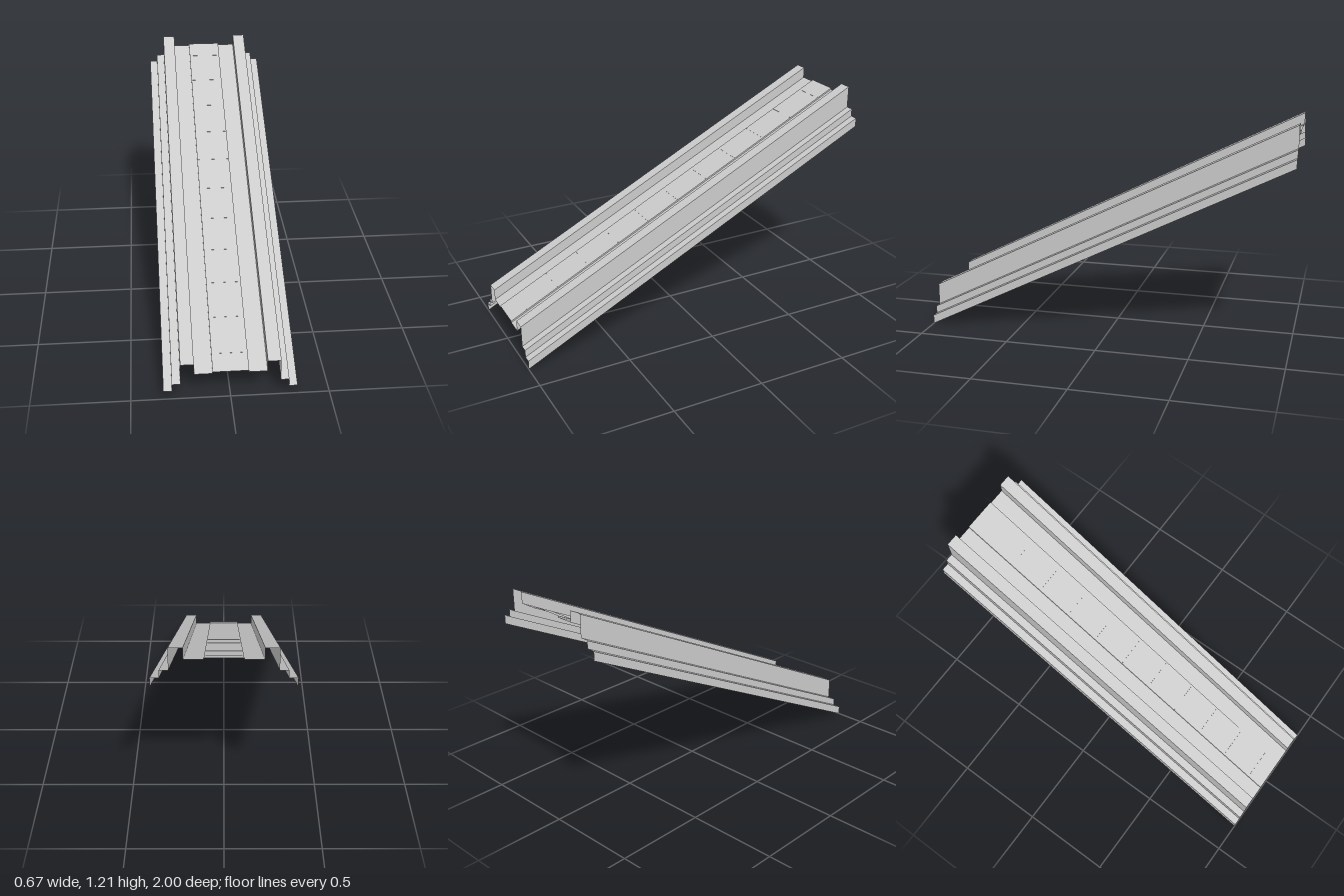
import * as THREE from 'three';

const metal = new THREE.MeshStandardMaterial({ color: 0xcccccc, side: THREE.DoubleSide });
metal.name = 'lightGreyMetal';

const SLOPE = 0.5; // rise per unit of run, climbing towards -z

// Sheet swept up the incline from a folded cross-section [x, y] taken at z = 1
function sweptSheet(name, profile) {
  const pos = [];
  for (let i = 0; i < profile.length - 1; i++) {
    const [ax, ay] = profile[i];
    const [bx, by] = profile[i + 1];
    const rise = 2 * SLOPE;
    const a = [ax, ay, 1], b = [bx, by, 1];
    const c = [bx, by + rise, -1], d = [ax, ay + rise, -1];
    pos.push(...a, ...b, ...c, ...a, ...c, ...d);
  }
  const geo = new THREE.BufferGeometry();
  geo.setAttribute('position', new THREE.Float32BufferAttribute(pos, 3));
  geo.computeVertexNormals();
  const mesh = new THREE.Mesh(geo, metal);
  mesh.name = name;
  return mesh;
}

export function createModel() {
  const model = new THREE.Group();
  model.name = 'inclinedWalkway';

  // Listed from -x to +x so the faces point upwards
  const rail = [[0.1835, 0.147], [0.1835, 0.207], [0.251, 0.207], [0.251, 0.089]];
  const skirt = [[0.251, 0.089], [0.294, 0.089], [0.294, 0.048], [0.337, 0.048], [0.337, 0]];
  const tray = [[0.091, 0.156], [0.091, 0.147], [0.1835, 0.147]];
  const mirror = (p) => p.map(([x, y]) => [-x, y]).reverse();

  // Raised rails, stepped side skirts and the channel beside the tread
  for (const [name, p] of [['Rail', rail], ['Skirt', skirt], ['Channel', tray]]) {
    model.add(sweptSheet('left' + name, p));
    model.add(sweptSheet('right' + name, mirror(p)));
  }

  // Central tread
  model.add(sweptSheet('tread', [[-0.091, 0.156], [0.091, 0.156]]));

  // Fine seams across the tread
  const seamGeo = new THREE.BoxGeometry(0.17, 0.002, 0.004);
  const count = 11;
  for (let i = 0; i < count; i++) {
    const z = 1 - (2 * (i + 0.5)) / count;
    const seam = new THREE.Mesh(seamGeo, metal);
    seam.name = 'treadSeam';
    seam.position.set(0, 0.156 + (1 - z) * SLOPE, z);
    seam.rotation.x = Math.atan(SLOPE);
    model.add(seam);
  }
  return model;
}
